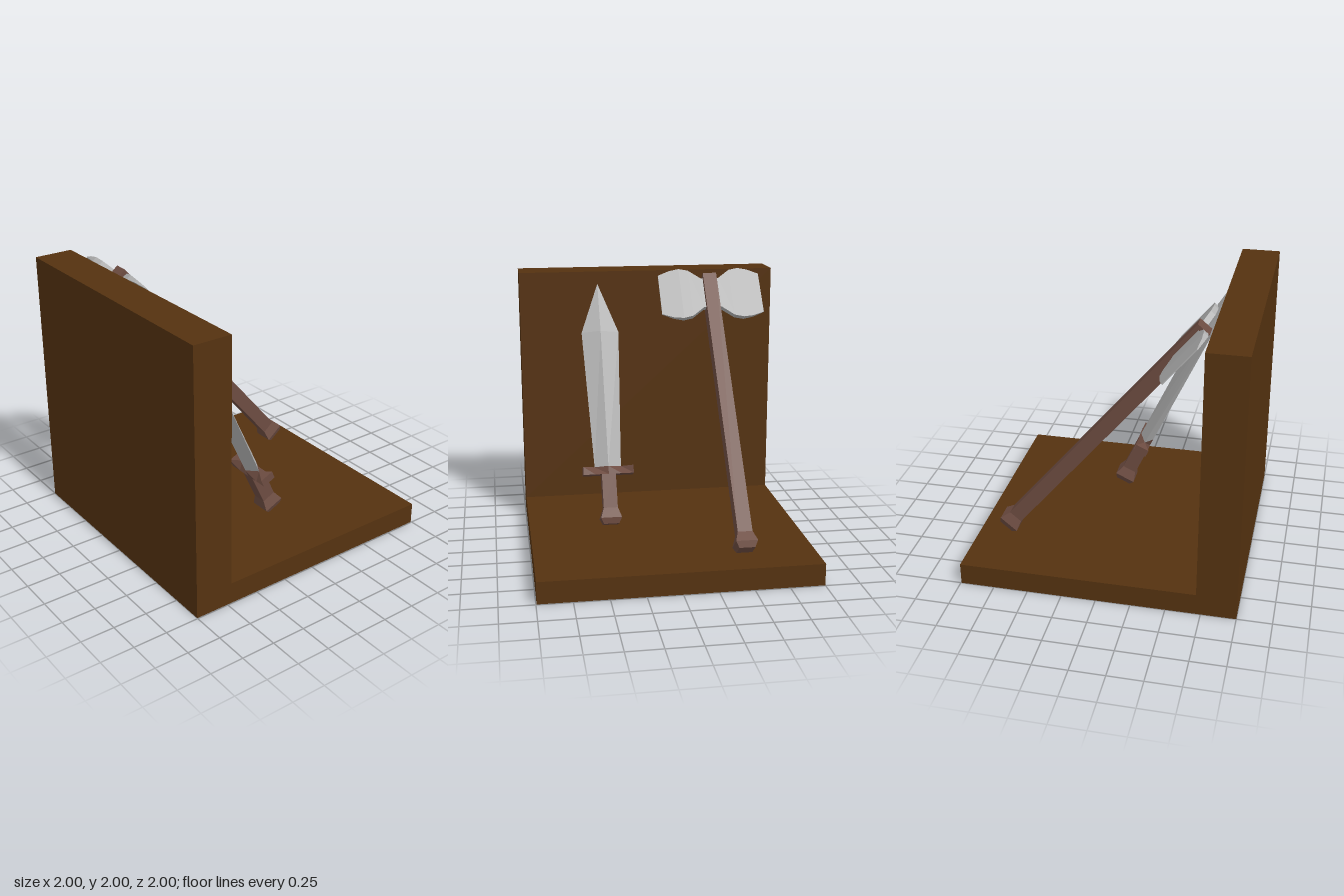
import * as THREE from 'three';

const wood = new THREE.MeshStandardMaterial({ name: 'dark wood', color: 0x553210, flatShading: true });
const brown = new THREE.MeshStandardMaterial({ name: 'handle brown', color: 0x6d4c41, flatShading: true });
const steel = new THREE.MeshStandardMaterial({ name: 'steel grey', color: 0xb2b2b2, flatShading: true });

// Joins four-cornered rings into a closed, faceted solid
function loft(rings) {
  const out = [];
  const quad = (a, b, c, d) => out.push(...a, ...b, ...c, ...a, ...c, ...d);
  for (let i = 0; i < rings.length - 1; i++) {
    for (let j = 0; j < 4; j++) {
      const k = (j + 1) % 4;
      quad(rings[i][j], rings[i][k], rings[i + 1][k], rings[i + 1][j]);
    }
  }
  const [a, b, c, d] = rings[0];
  quad(d, c, b, a);
  quad(...rings[rings.length - 1]);
  const g = new THREE.BufferGeometry();
  g.setAttribute('position', new THREE.Float32BufferAttribute(out, 3));
  g.computeVertexNormals();
  return g;
}

// Square ring across the y axis
const square = (y, r) => [[r, y, r], [r, y, -r], [-r, y, -r], [-r, y, r]];
// Diamond ring across the y axis
const diamond = (y, x, z) => [[x, y, 0], [0, y, -z], [-x, y, 0], [0, y, z]];
// Ring across the z axis, with its own half width at bottom and top
const slab = (z, y0, y1, xBottom, xTop) =>
  [[xBottom, y0, z], [xTop, y1, z], [-xTop, y1, z], [-xBottom, y0, z]];

function add(parent, name, geometry, material) {
  const mesh = new THREE.Mesh(geometry, material);
  mesh.name = name;
  parent.add(mesh);
}

// Square shaft with a flared pommel at y = 0
const shaft = (top) =>
  loft([square(0, 0.057), square(0.045, 0.078), square(0.12, 0.053), square(top, 0.053)]);

function makeSword() {
  const sword = new THREE.Group();
  sword.name = 'sword';
  add(sword, 'swordGrip', shaft(0.374), brown);
  // Guard whose top edge pinches in where the blade edges meet it
  const guard = [[-0.19, 0.053], [-0.1, 0], [0, 0.053], [0.1, 0], [0.19, 0.053]];
  add(sword, 'swordGuard', loft(guard.map(([z, x]) => slab(z, 0.374, 0.435, 0.053, x))), brown);
  add(sword, 'swordBlade', loft([
    diamond(0.435, 0.053, 0.1), diamond(1.481, 0.053, 0.143), diamond(1.871, 0, 0),
  ]), steel);
  return sword;
}

function makeAxe() {
  const axe = new THREE.Group();
  axe.name = 'axe';
  add(axe, 'axeHandle', shaft(2.243), brown);
  // Double head: distance from centre, half height, half thickness
  const half = [
    [0.07, 0.13, 0.022], [0.163, 0.203, 0.021], [0.235, 0.22, 0.02],
    [0.313, 0.207, 0.012], [0.4, 0.173, 0.004],
  ];
  const sections = [...half.map(([z, h, t]) => [-z, h, t]).reverse(), ...half];
  add(axe, 'axeHead', loft(sections.map(([z, h, t]) => slab(z, 2.084 - h, 2.084 + h, t, t))), steel);
  return axe;
}

export function createModel() {
  const model = new THREE.Group();
  model.name = 'weaponDisplay';

  // Floor and wall as one L-shaped piece
  const profile = new THREE.Shape([
    [-1, 0], [0.995, 0], [0.995, 0.16], [-0.715, 0.16], [-0.715, 1.985], [-1, 1.985],
  ].map(([x, y]) => new THREE.Vector2(x, y)));
  const stand = new THREE.ExtrudeGeometry(profile, { depth: 1.995, bevelEnabled: false });
  stand.translate(0, 0, -1);
  add(model, 'floorAndWall', stand, wood);

  // Weapons leaning against the wall
  const sword = makeSword();
  sword.position.set(0.087, 0.193, 0.392);
  sword.rotation.z = 0.4346;
  const axe = makeAxe();
  axe.position.set(0.795, 0.215, -0.478);
  axe.rotation.z = 0.695;
  model.add(sword, axe);
  return model;
}
